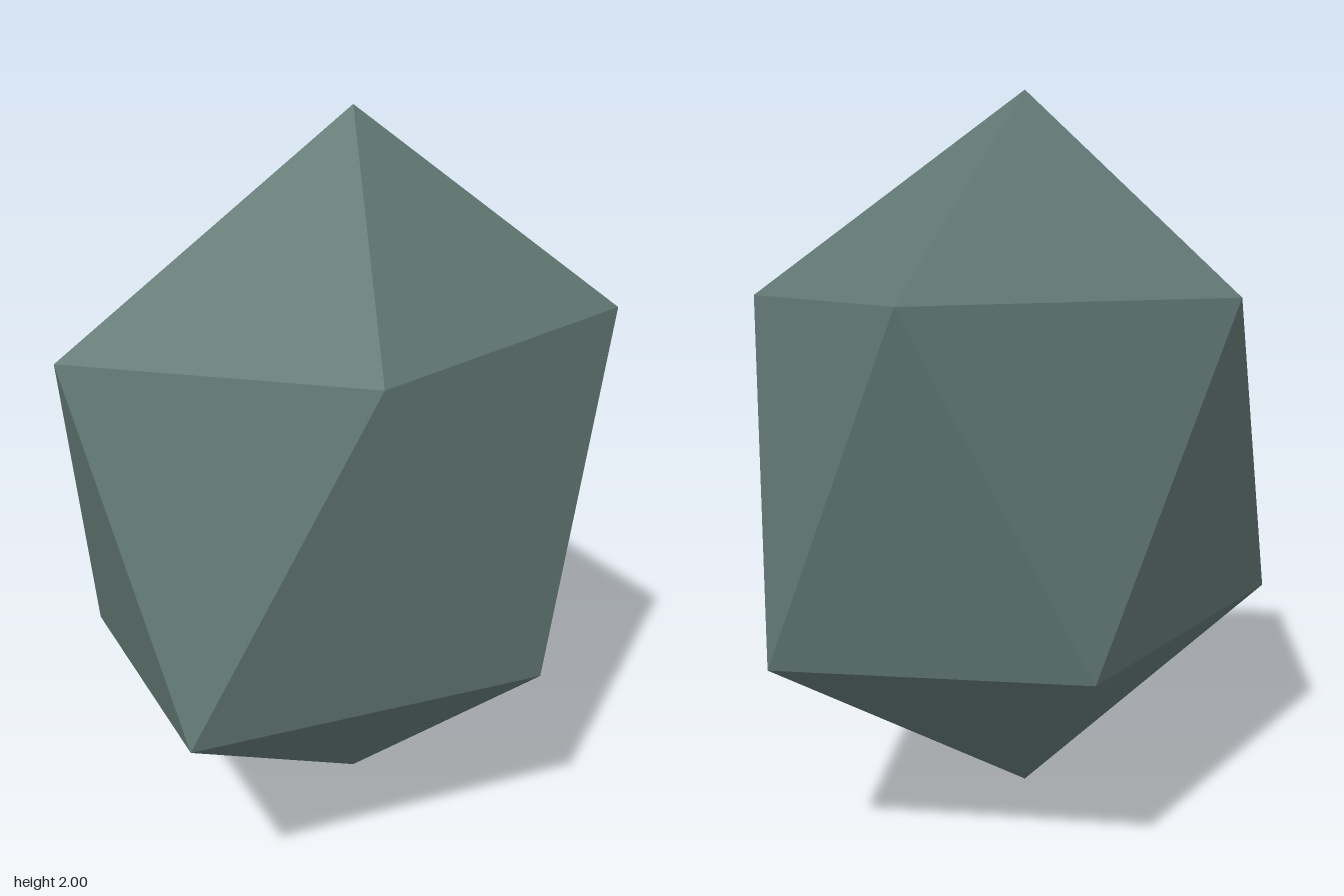
import * as THREE from 'three';

export function createModel() {
  const group = new THREE.Group();
  group.name = 'facetedStone';

  // Upper five-sided ring as [x, z]; the lower ring is its point reflection
  const ring = [[-0.3, -0.58], [0.665, -0.575], [0.712, 0.222], [-0.224, 0.712], [-0.854, 0.214]];
  const rise = 0.447; // ring height above and below the centre
  const top = [0, 2, 0];
  const bottom = [0, 0, 0];
  const upper = (i) => [ring[i % 5][0], 1 + rise, ring[i % 5][1]];
  const lower = (i) => [-ring[(i + 3) % 5][0], 1 - rise, -ring[(i + 3) % 5][1]];

  // Top cap, zigzag belt and bottom cap, one slice at a time
  const positions = [];
  for (let i = 0; i < 5; i++) {
    positions.push(
      ...top, ...upper(i + 1), ...upper(i),
      ...upper(i), ...upper(i + 1), ...lower(i),
      ...lower(i), ...upper(i + 1), ...lower(i + 1),
      ...bottom, ...lower(i), ...lower(i + 1),
    );
  }
  const geometry = new THREE.BufferGeometry();
  geometry.setAttribute('position', new THREE.Float32BufferAttribute(positions, 3));
  geometry.computeVertexNormals();

  const stoneGreen = new THREE.MeshStandardMaterial({ color: 0x607672 });
  stoneGreen.name = 'stone green';
  stoneGreen.flatShading = true;

  const stone = new THREE.Mesh(geometry, stoneGreen);
  stone.name = 'stone';
  group.add(stone);
  return group;
}
